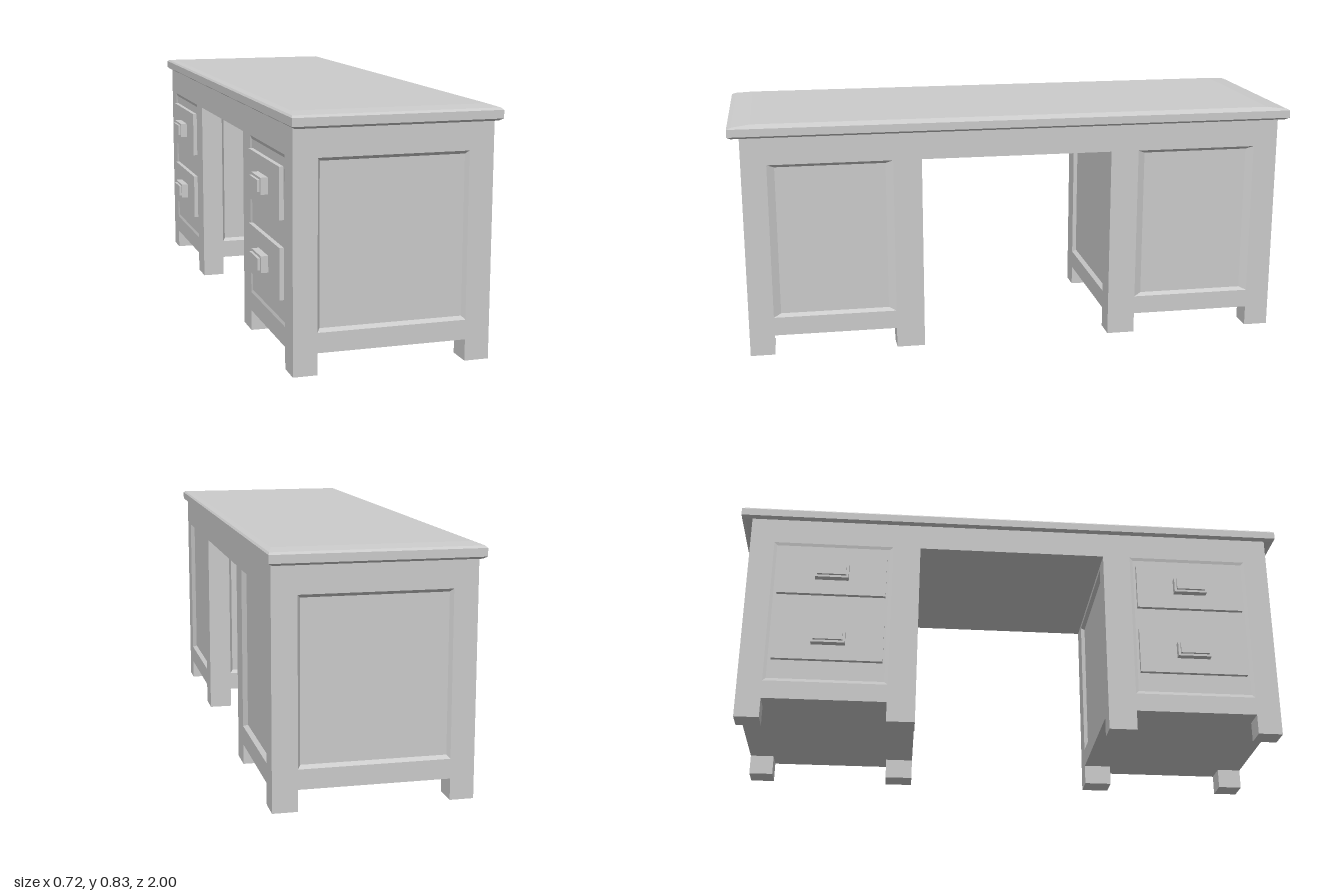
import * as THREE from 'three';

const material = new THREE.MeshStandardMaterial({ color: 0xcccccc, flatShading: true });

// Body extents
const X0 = -0.315, X1 = 0.347, XC = 0.016;
const LEG = 0.072, TOP = 0.785, ARCH = 0.69;
const ZI = 0.34, ZO = 0.96; // inner and outer side of a pedestal
const PX0 = -0.235, PX1 = 0.264; // panel opening across the short sides
const PZ0 = 0.44, PZ1 = 0.873; // panel opening across the long sides

function add(parent, name, geometry) {
  const mesh = new THREE.Mesh(geometry, material);
  mesh.name = name;
  parent.add(mesh);
  return mesh;
}

// Box given by its limits on each axis
function block(parent, name, x0, x1, y0, y1, z0, z1) {
  const g = new THREE.BoxGeometry(Math.abs(x1 - x0), y1 - y0, Math.abs(z1 - z0));
  g.translate((x0 + x1) / 2, (y0 + y1) / 2, (z0 + z1) / 2);
  return add(parent, name, g);
}

// Joins rectangles [x0, x1, y0, y1, z] in order and caps the last one, facing +z
function loft(rects) {
  const rings = rects.map(([x0, x1, y0, y1, z]) =>
    [[x0, y0, z], [x1, y0, z], [x1, y1, z], [x0, y1, z]]);
  const pos = [];
  const quad = (a, b, c, d) => pos.push(...a, ...b, ...c, ...a, ...c, ...d);
  for (let r = 0; r < rings.length - 1; r++) {
    for (let i = 0; i < 4; i++) {
      const j = (i + 1) % 4;
      quad(rings[r][i], rings[r][j], rings[r + 1][j], rings[r + 1][i]);
    }
  }
  quad(...rings[rings.length - 1]);
  const g = new THREE.BufferGeometry();
  g.setAttribute('position', new THREE.Float32BufferAttribute(pos, 3));
  g.computeVertexNormals();
  return g;
}

// Upright wall with a bevelled, sunken panel; flip reverses its horizontal axis
function wall(parent, name, { angle, offset, flip, span, hole, y0, y1, bevel, depth }) {
  const order = ([a, b]) => (flip ? [-b, -a] : [a, b]);
  const s = order(span).sort((a, b) => a - b);
  const h = order(hole).sort((a, b) => a - b);
  const g = loft([
    [...s, LEG, TOP, 0],
    [...h, y0, y1, 0],
    [h[0] + bevel, h[1] - bevel, y0 + 0.011, y1 - 0.011, -depth],
  ]);
  g.translate(0, 0, offset);
  g.rotateY(angle);
  return add(parent, name, g);
}

function pedestal(side) {
  const p = new THREE.Group();
  p.name = side > 0 ? 'frontPedestal' : 'backPedestal';
  const short = { span: [X0, X1], hole: [PX0, PX1], y0: 0.138, bevel: 0.01, depth: 0.013 };
  const long = { span: [side * ZI, side * ZO], hole: [side * PZ0, side * PZ1], y0: 0.138, y1: 0.69 };
  const front = side > 0;

  // Panelled walls on all four sides
  wall(p, 'outerPanel', { ...short, y1: 0.69, angle: front ? 0 : Math.PI, flip: !front, offset: ZO });
  wall(p, 'kneePanel', { ...short, y1: 0.675, angle: front ? Math.PI : 0, flip: front, offset: -ZI });
  wall(p, 'leftPanel', { ...long, angle: Math.PI / 2, flip: true, offset: X1, bevel: 0.026, depth: 0.013 });
  wall(p, 'drawerWall', { ...long, angle: -Math.PI / 2, flip: false, offset: -X0, bevel: 0.011, depth: 0.003 });

  // Floor and corner feet
  block(p, 'floor', X0 + 0.02, X1 - 0.02, LEG, LEG + 0.01, side * (ZI + 0.02), side * (ZO - 0.02));
  const under = new THREE.PlaneGeometry(X1 - X0, ZO - ZI).rotateX(Math.PI / 2);
  under.translate(XC, LEG, side * (ZI + ZO) / 2);
  add(p, 'underside', under);
  for (const [a, b] of [[X0, PX0], [PX1, X1]]) {
    for (const [c, d] of [[ZI, PZ0], [PZ1, ZO]]) {
      block(p, 'foot', a, b, 0, LEG, side * c, side * d);
    }
  }

  // Drawer fronts with stepped pulls
  const zc = side * 0.655;
  for (const y of [0.305, 0.564]) {
    block(p, 'drawerFront', -0.327, X0 + 0.01, y - 0.085, y + 0.085, zc - 0.195, zc + 0.195);
    block(p, 'drawerPull', -0.352, -0.32, y - 0.028, y + 0.028, zc - 0.06, zc + 0.06);
    block(p, 'pullFace', -0.361, -0.35, y - 0.02, y + 0.02, zc - 0.052, zc + 0.052);
  }
  return p;
}

export function createModel() {
  const desk = new THREE.Group();
  desk.name = 'desk';
  desk.add(pedestal(1), pedestal(-1));

  // Bridge above the knee space
  block(desk, 'kneeApron', X0, X1, ARCH, TOP, -ZI, ZI);

  // Desktop slab with chamfered lower edge and softly sloped upper edge
  const ring = (w, l, y) => [XC - w, XC + w, -l, l, y];
  const slab = loft([
    ring(0, 0, TOP),
    ring(0.331, 0.987, TOP),
    ring(0.344, 1, 0.793),
    ring(0.344, 1, 0.82),
    ring(0.339, 0.985, 0.826),
    ring(0.322, 0.92, 0.832),
  ]);
  slab.rotateX(-Math.PI / 2);
  add(desk, 'desktop', slab);
  return desk;
}
